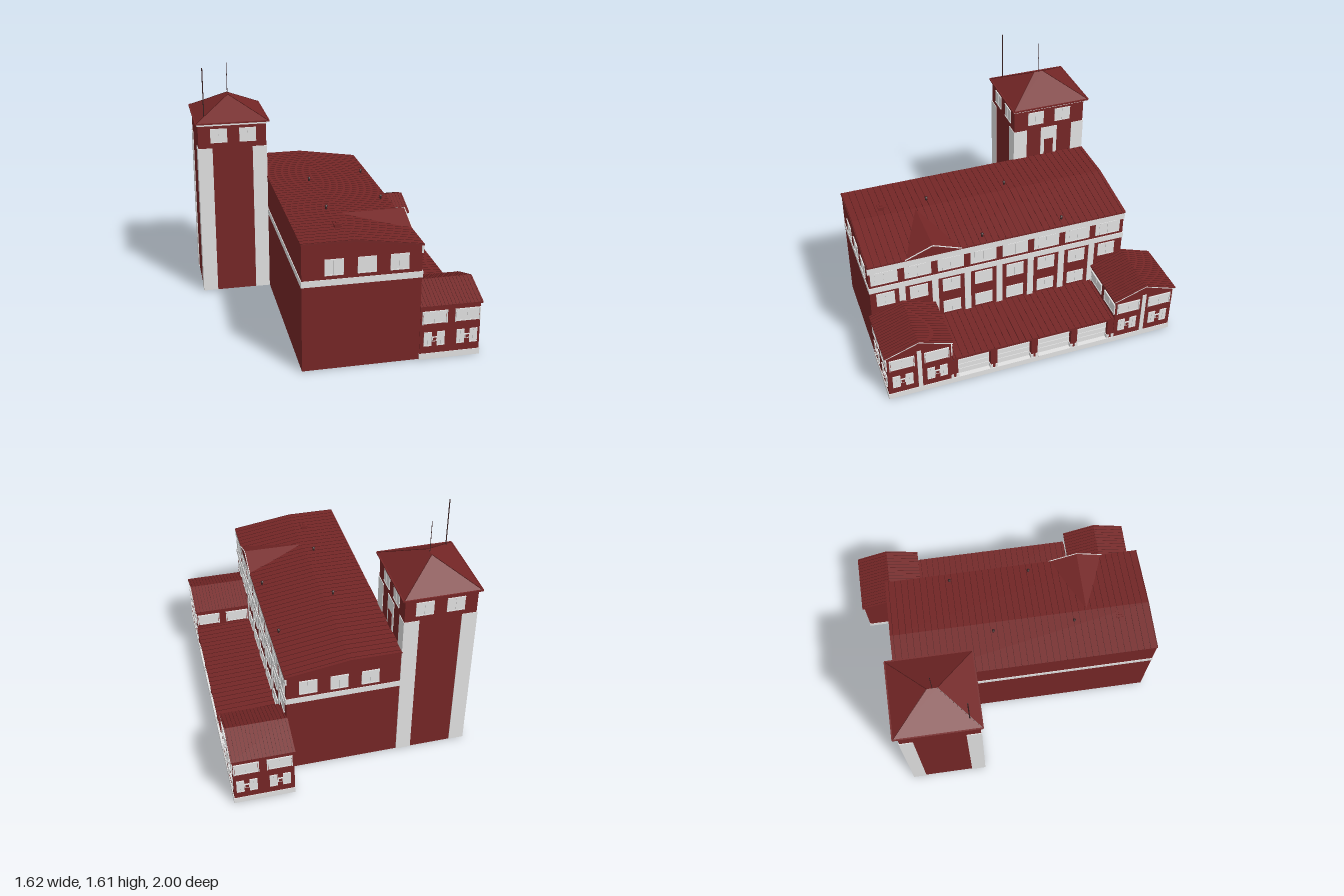
import * as THREE from 'three';

const mat = (name, color, side = THREE.FrontSide) => {
  const m = new THREE.MeshStandardMaterial({ color, side });
  m.name = name;
  return m;
};

export function createModel() {
  const root = new THREE.Group();
  root.name = 'fireStation';
  const red = mat('brickRed', 0x762626);
  const tile = mat('roofTileRed', 0x742626, THREE.DoubleSide);
  const seam = mat('tileSeam', 0x521a1a);
  const white = mat('offWhite', 0xe2e2e2);
  const blue = mat('slateBlue', 0x32536a);
  const dark = mat('darkMetal', 0x3a2222);

  const add = (name, geo, m, parent = root) => {
    const mesh = new THREE.Mesh(geo, m);
    mesh.name = name;
    parent.add(mesh);
    return mesh;
  };
  // Box from its limits
  const box = (name, m, x0, x1, y0, y1, z0, z1) =>
    add(name, new THREE.BoxGeometry(x1 - x0, y1 - y0, z1 - z0), m)
      .position.set((x0 + x1) / 2, (y0 + y1) / 2, (z0 + z1) / 2);
  // Thin plate on a wall facing x or z; u runs along the wall
  const plate = (name, m, axis, at, u0, u1, y0, y1, t = 0.004) =>
    axis === 'x' ? box(name, m, at - t, at + t, y0, y1, u0, u1)
      : box(name, m, u0, u1, y0, y1, at - t, at + t);
  const shapeOf = pts => new THREE.Shape(pts.map(p => new THREE.Vector2(...p)));
  // Section in (x, y) swept along z
  const sweepZ = (name, m, pts, z0, z1) =>
    add(name, new THREE.ExtrudeGeometry(shapeOf(pts), { depth: z1 - z0, bevelEnabled: false }), m)
      .position.z = z0;
  // Section in (z, y), symmetric about zc, swept along x
  const sweepX = (name, m, pts, x0, x1, zc) =>
    add(name, new THREE.ExtrudeGeometry(shapeOf(pts), { depth: x1 - x0, bevelEnabled: false })
      .rotateY(Math.PI / 2), m).position.set(x0, 0, zc);
  const faces = (name, m, tris) => {
    const g = new THREE.BufferGeometry();
    g.setAttribute('position', new THREE.Float32BufferAttribute(tris.flat(2), 3));
    g.computeVertexNormals();
    return add(name, g, m);
  };
  // Thin straight bar between two points
  const bar = (name, m, a, b, w = 0.003) => {
    const p = new THREE.Vector3(...a), q = new THREE.Vector3(...b);
    const mesh = add(name, new THREE.BoxGeometry(w, w, p.distanceTo(q)), m);
    mesh.position.copy(p).lerp(q, 0.5);
    mesh.lookAt(q);
  };
  // Pane with raised frame and mullion
  const pane = (axis, at, uc, yc, w, h) => {
    plate('windowPane', white, axis, at, uc - w / 2, uc + w / 2, yc - h / 2, yc + h / 2);
    plate('windowMullion', white, axis, at, uc - 0.003, uc + 0.003, yc - h / 2, yc + h / 2, 0.007);
    for (const s of [-1, 1])
      plate('windowRail', white, axis, at, uc - w / 2, uc + w / 2, yc + s * (h / 2) - 0.003, yc + s * (h / 2) + 0.003, 0.007);
  };

  // Main hall and its roof
  sweepZ('mainHall', red, [[-0.325, 0.004], [0.41, 0.004], [0.41, 0.768], [0, 0.828], [-0.325, 0.828]], -0.775, 0.98);
  sweepZ('mainRoof', tile, [[-0.33, 0.828], [-0.33, 0.838], [0, 0.84], [0.418, 0.778], [0.418, 0.766], [0, 0.826]], -0.782, 0.985);
  for (let z = -0.76; z < 0.98; z += 0.0435) {
    bar('mainRoofSeam', seam, [-0.33, 0.838, z], [0, 0.84, z]);
    bar('mainRoofSeam', seam, [0, 0.84, z], [0.417, 0.778, z]);
  }

  // Band and windows around the hall
  for (const z of [-0.775, 0.98]) {
    plate('endBand', white, 'z', z, -0.328, 0.414, 0.56, 0.6);
    for (const x of [-0.13, 0.07, 0.27]) pane('z', z, x, 0.677, 0.115, 0.097);
  }
  plate('rearBand', white, 'x', -0.325, -0.779, 0.984, 0.56, 0.6);
  plate('frontBand', white, 'x', 0.41, -0.779, 0.984, 0.56, 0.6, 0.006);
  plate('eavesBand', white, 'x', 0.41, -0.779, 0.984, 0.718, 0.765, 0.006);
  for (let i = 0; i < 8; i++) {
    const z = 0.88 - i * 0.22;
    plate('topWindowSurround', white, 'x', 0.41, z - 0.088, z + 0.088, 0.62, 0.718);
    pane('x', 0.412, z, 0.672, 0.12, 0.09);
    pane('x', 0.41, z, 0.492, 0.12, 0.094);
    pane('x', 0.41, z, 0.305, 0.12, 0.09);
    if (i < 7) plate('pilaster', white, 'x', 0.41, z - 0.131, z - 0.089, 0.2, 0.56, 0.005);
  }

  // Cross gable on the front slope
  const A = [0.01, 0.843, 0.555], B = [0.419, 0.846, 0.555], L = [0.419, 0.774, 0.74], R = [0.419, 0.774, 0.365];
  faces('crossGable', tile, [[A, L, B], [A, B, R], [B, L, R]]);
  for (const e of [L, R]) bar('crossGableTrim', white, e, B, 0.005);

  // Chimney and roof vents
  box('chimney', red, -0.082, -0.048, 0.83, 0.862, 0.753, 0.787);
  box('chimneyCap', tile, -0.09, -0.04, 0.862, 0.868, 0.745, 0.795);
  box('chimneyTop', red, -0.075, -0.055, 0.868, 0.876, 0.76, 0.78);
  for (const [x, y, z] of [[-0.065, 0.84, 0.46], [-0.065, 0.84, -0.09], [0.36, 0.786, 0.21], [0.36, 0.786, -0.34]]) {
    add('roofVent', new THREE.CylinderGeometry(0.007, 0.007, 0.03, 10), dark).position.set(x, y + 0.01, z);
    add('roofVentCap', new THREE.CylinderGeometry(0.004, 0.011, 0.008, 10), dark).position.set(x, y + 0.025, z);
  }

  // Tower with corner piers
  box('tower', red, -0.795, -0.33, 0.002, 1.22, -0.775, -0.262);
  for (const [x0, x1] of [[-0.8, -0.7], [-0.425, -0.326]])
    for (const z of [-0.775, -0.262]) plate('towerPier', white, 'z', z, x0, x1, 0.003, 1.06);
  for (const x of [-0.796, -0.33]) {
    plate('towerPier', white, 'x', x, -0.778, -0.69, 0.003, 1.06);
    plate('towerPier', white, 'x', x, -0.355, -0.259, 0.003, 1.06);
  }
  plate('towerCenterPanel', white, 'x', -0.33, -0.58, -0.46, 0.84, 1.06);
  plate('towerDoor', red, 'x', -0.33, -0.553, -0.487, 0.84, 0.962, 0.007);
  for (const z of [-0.775, -0.262]) for (const x of [-0.655, -0.457]) pane('z', z, x, 1.147, 0.115, 0.092);
  for (const z of [-0.42, -0.617]) pane('x', -0.33, z, 1.147, 0.115, 0.092);
  box('towerCornice', white, -0.802, -0.322, 1.218, 1.234, -0.785, -0.254);

  // Hipped tower roof
  const y = 1.236, P = [-0.81, y, -0.8], Q = [-0.31, y, -0.8], S = [-0.31, y, -0.248], T = [-0.81, y, -0.248];
  const U = [-0.56, 1.376, -0.555], V = [-0.56, 1.376, -0.49];
  faces('towerRoof', tile, [[T, S, V], [Q, P, U], [S, Q, U], [S, U, V], [P, T, V], [P, V, U], [P, Q, S], [P, S, T]]);
  const rim = [P, Q, S, T];
  rim.forEach((p, i) => {
    bar('towerEaves', tile, p, rim[(i + 1) % 4], 0.009);
    bar('towerHip', seam, p, i < 2 ? U : V, 0.004);
  });
  for (const [x, z, y0, y1, r] of [[-0.745, -0.32, 1.24, 1.605, 0.0035], [-0.56, -0.52, 1.37, 1.592, 0.002]])
    add('antenna', new THREE.CylinderGeometry(r, r, y1 - y0, 8), dark).position.set(x, (y0 + y1) / 2, z);

  // Front wing plinth and floor patches
  box('wingPlinth', white, 0.408, 0.802, 0, 0.04, -0.988, 0.988);
  plate('floorInset', blue, 'z', 0, 0.06, 0.408, 0.001, 0.005, 0.5);
  box('floorPad', white, 0.13, 0.35, 0, 0.005, -0.48, -0.1);

  // Garage bays under a low roof
  box('garageBlock', red, 0.41, 0.765, 0.03, 0.21, -0.56, 0.56);
  sweepZ('garageRoof', tile, [[0.41, 0.212], [0.806, 0.205], [0.806, 0.222], [0.41, 0.238]], -0.558, 0.558);
  box('garageSoffit', blue, 0.765, 0.8, 0.2, 0.206, -0.558, 0.558);
  for (let z = -0.54; z < 0.55; z += 0.0432)
    bar('garageRoofSeam', seam, [0.41, 0.238, z], [0.806, 0.222, z]);
  for (const z of [0.422, 0.14, -0.142, -0.418]) {
    plate('garageDoor', white, 'x', 0.768, z - 0.113, z + 0.113, 0.01, 0.203);
    for (const h of [0.08, 0.12, 0.16]) plate('doorRail', white, 'x', 0.77, z - 0.113, z + 0.113, h, h + 0.004, 0.006);
    box('doorSill', white, 0.77, 0.803, 0.002, 0.042, z - 0.113, z + 0.113);
  }
  for (const z of [0.547, 0.281, 0, -0.281, -0.545]) {
    box('garagePillar', red, 0.76, 0.795, 0.04, 0.207, z - 0.022, z + 0.022);
    for (const s of [-1, 1]) box('pillarFoot', white, 0.765, 0.8, 0.04, 0.07, z + s * 0.017 - 0.009, z + s * 0.017 + 0.009);
  }

  // One storey group of pavilion windows on a wall
  const upper = (axis, at, u) => {
    plate('windowHood', white, axis, at, u - 0.08, u + 0.08, 0.32, 0.328, 0.008);
    for (const s of [-1, 1]) plate('windowJamb', white, axis, at, u + s * 0.078 - 0.003, u + s * 0.078 + 0.003, 0.24, 0.328, 0.006);
    pane(axis, at, u, 0.282, 0.145, 0.068);
  };
  const lower = (axis, at, u) => {
    for (const s of [-1, 1]) pane(axis, at, u + s * 0.042, 0.138, 0.05, 0.088);
    plate('lampFrame', white, axis, at, u - 0.016, u + 0.016, 0.122, 0.152, 0.008);
    plate('lampCenter', red, axis, at, u - 0.011, u + 0.011, 0.127, 0.147, 0.009);
  };

  // Two mirrored gabled pavilions
  for (const s of [-1, 1]) {
    const zc = s * 0.776, out = s * 0.984, inn = s * 0.566, x1 = 0.797;
    sweepX('pavilion', red, [[-0.208, 0.04], [0.208, 0.04], [0.208, 0.357], [0, 0.432], [-0.208, 0.357]], 0.41, x1, zc);
    sweepX('pavilionRoof', tile, [[-0.223, 0.358], [0, 0.436], [0.223, 0.358], [0.223, 0.368], [0, 0.447], [-0.223, 0.368]], 0.405, 0.806, zc);
    for (const k of [-1, 1]) {
      bar('gableTrim', white, [0.804, 0.357, zc + k * 0.218], [0.804, 0.434, zc], 0.006);
      for (let x = 0.42; x < 0.8; x += 0.0235)
        bar('pavilionRoofSeam', seam, [x, 0.368, zc + k * 0.223], [x, 0.447, zc], 0.0025);
    }
    plate('pavilionStrip', white, 'x', x1, zc - 0.014, zc + 0.014, 0.04, 0.357);
    for (const k of [-1, 1]) {
      upper('x', x1, zc + k * 0.113);
      lower('x', x1, zc + k * 0.113);
    }
    for (const x of [0.503, 0.714]) {
      upper('z', out, x);
      lower('z', out, x);
      upper('z', inn, x);
    }
  }
  return root;
}
